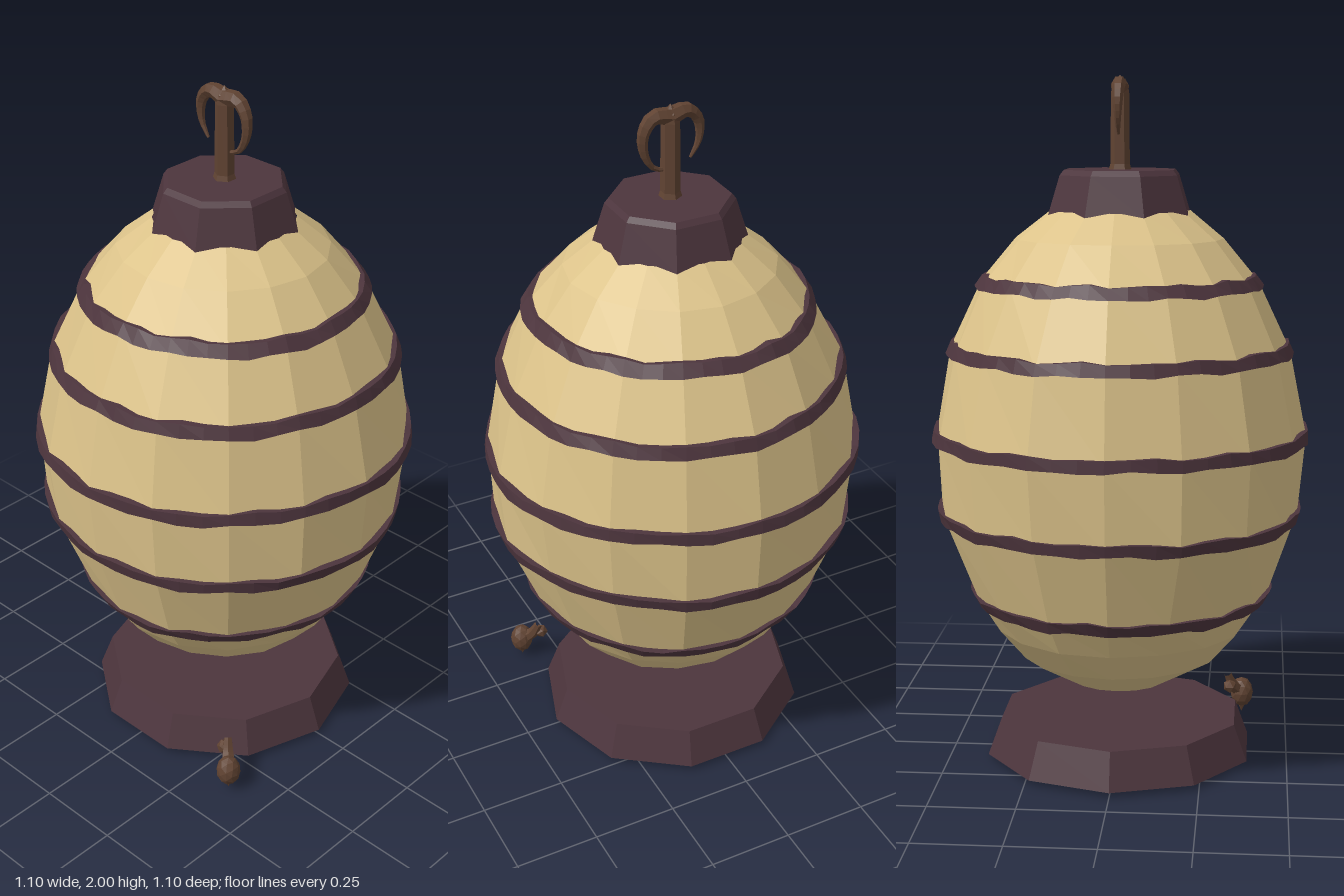
import * as THREE from 'three';

const paint = (name, color) => Object.assign(
  new THREE.MeshStandardMaterial({ color, flatShading: true }), { name });

// Body outline as [radius, height]
const PROFILE = [[0, 0.205], [0.14, 0.225], [0.29, 0.31], [0.37, 0.4], [0.435, 0.5], [0.525, 0.74],
  [0.542, 0.97], [0.495, 1.22], [0.4, 1.42], [0.3, 1.54], [0.2, 1.62]];

function radiusAt(y) {
  for (let i = 1; i < PROFILE.length; i++) {
    const [r0, y0] = PROFILE[i - 1], [r1, y1] = PROFILE[i];
    if (y <= y1) return r0 + (r1 - r0) * (y - y0) / (y1 - y0);
  }
  return 0.2;
}

// Hand-cut unevenness, periodic around the axis
function roughen(geo, jag) {
  const p = geo.attributes.position;
  for (let i = 0; i < p.count; i++) {
    const x = p.getX(i), y = p.getY(i), z = p.getZ(i);
    const a = Math.atan2(z, x);
    const s = 1 + 0.008 * Math.sin(3 * a + y * 9) + 0.006 * Math.sin(5 * a - y * 23);
    const dy = jag * (Math.sin(11 * a + y * 190) + Math.sin(17 * a - y * 130));
    p.setXYZ(i, x * s, y + dy, z * s);
  }
  geo.computeVertexNormals();
  return geo;
}

// Round tube through points whose thickness follows a function of t
function taperedTube(points, radius, sides = 6, steps = 12) {
  const curve = new THREE.CatmullRomCurve3(points.map(p => new THREE.Vector3(...p)));
  const geo = new THREE.TubeGeometry(curve, steps, 1, sides);
  const p = geo.attributes.position, v = new THREE.Vector3();
  for (let i = 0; i < p.count; i++) {
    const t = Math.floor(i / (sides + 1)) / steps;
    const c = curve.getPointAt(t);
    v.fromBufferAttribute(p, i).sub(c).multiplyScalar(radius(t)).add(c);
    p.setXYZ(i, v.x, v.y, v.z);
  }
  geo.computeVertexNormals();
  return geo;
}

export function createModel() {
  const model = new THREE.Group();
  model.name = 'lantern';
  const paper = paint('cream paper', 0xdcc38a);
  const wood = paint('dark plum wood', 0x4d353d);
  const bronze = paint('brown bronze', 0x604332);

  const add = (name, geo, mat, parent = model) => {
    const mesh = new THREE.Mesh(geo, mat);
    mesh.name = name;
    parent.add(mesh);
    return mesh;
  };
  const lathe = (pts, sides, phase = 0) =>
    new THREE.LatheGeometry(pts.map(p => new THREE.Vector2(...p)), sides, phase);

  // Faceted paper body
  add('paperBody', roughen(lathe(PROFILE, 16), 0), paper);

  // Ragged hoops around the body
  [0.495, 0.74, 0.975, 1.225, 1.42].forEach((y, i) => {
    const lo = y - 0.017, hi = y + 0.017;
    const rl = radiusAt(lo), rh = radiusAt(hi);
    const ring = lathe([[rl - 0.04, lo], [rl + 0.008, lo], [rh + 0.008, hi], [rh - 0.04, hi]], 48);
    add('hoop' + (i + 1), roughen(ring, 0.003), wood);
  });

  // Octagonal cap with a small bevel
  add('cap', lathe([[0, 1.605], [0.216, 1.605], [0.18, 1.72], [0.168, 1.735], [0, 1.735]],
    8, Math.PI / 8), wood);

  // Ten-sided base plate, separate from the body
  add('base', lathe([[0, 0.015], [0.402, 0.015], [0.362, 0.122], [0, 0.122]],
    10, Math.PI / 10), wood);

  // Hook: post with a pointed tip and two curling horns
  const hook = new THREE.Group();
  hook.name = 'hook';
  model.add(hook);
  add('hookPost', lathe([[0.034, 1.73], [0.028, 1.75], [0.026, 1.95], [0.022, 1.975], [0, 2]], 6),
    bronze, hook);
  add('hookRightHorn', taperedTube([[0, 1.965, 0], [-0.05, 1.975, 0], [-0.084, 1.94, 0],
    [-0.085, 1.88, 0], [-0.06, 1.835, 0]], t => 0.022 * (1 - t) + 0.004), bronze, hook);
  add('hookLeftHorn', taperedTube([[0, 1.965, 0], [0.05, 1.97, 0], [0.08, 1.93, 0],
    [0.078, 1.87, 0], [0.05, 1.825, 0], [0.015, 1.815, 0]], t => 0.02 * (1 - t) + 0.005), bronze, hook);

  // Small loose pendant beside the base
  const pendant = new THREE.Group();
  pendant.name = 'pendant';
  model.add(pendant);
  const bulb = add('pendantBulb', new THREE.IcosahedronGeometry(0.04, 1), bronze, pendant);
  bulb.scale.set(0.9, 1.2, 0.9);
  bulb.position.set(0.362, 0.065, 0.362);
  add('pendantStem', taperedTube([[0.36, 0.07, 0.36], [0.335, 0.095, 0.335], [0.318, 0.138, 0.318]],
    t => 0.024 - 0.012 * t), bronze, pendant);
  add('pendantTip', new THREE.ConeGeometry(0.016, 0.035, 6).rotateX(Math.PI)
    .translate(0.362, 0.0175, 0.362), bronze, pendant);
  const knob = add('pendantKnob', new THREE.IcosahedronGeometry(0.022, 0), bronze, pendant);
  knob.position.set(0.308, 0.1, 0.325);

  return model;
}
